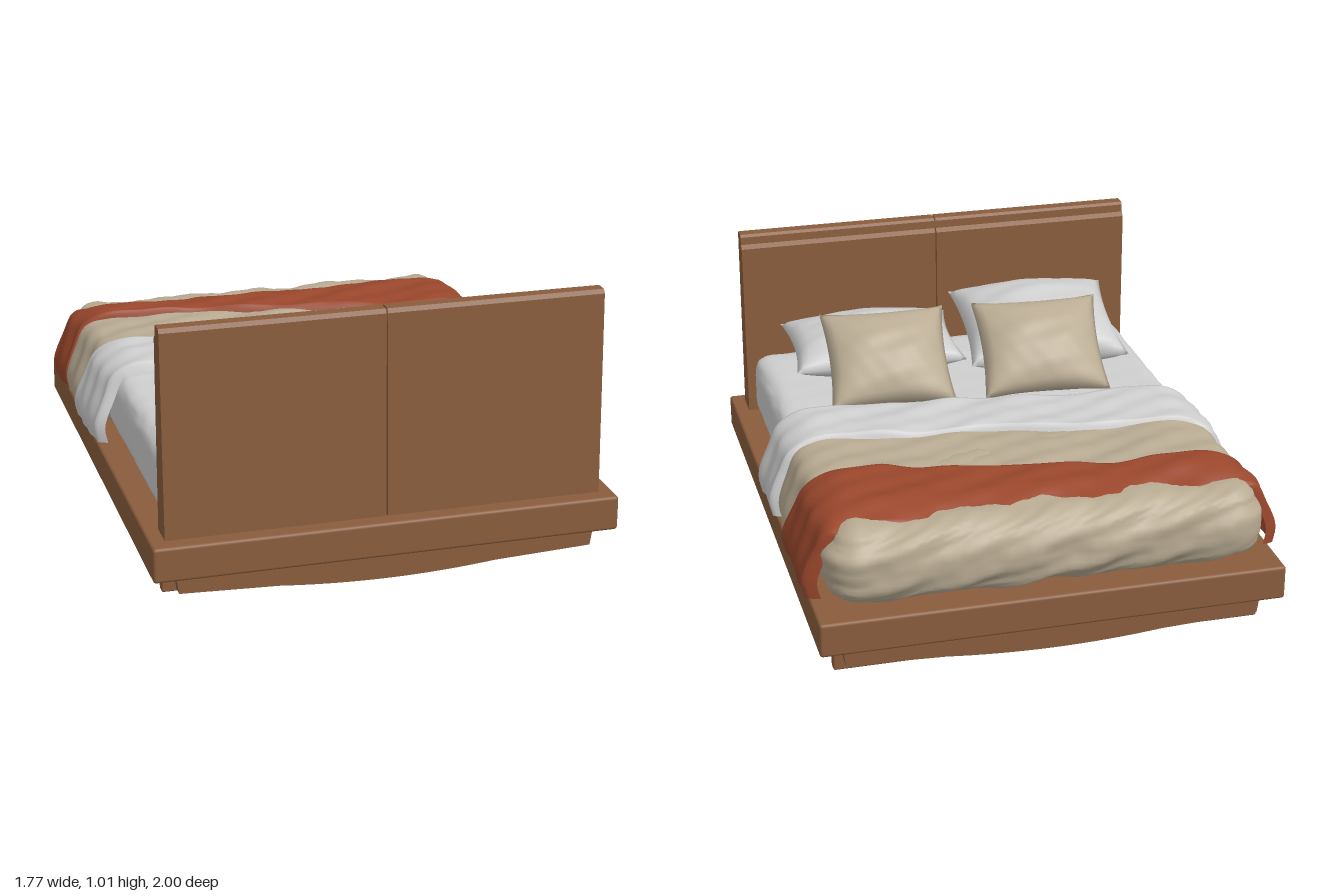
import * as THREE from 'three';
import { mergeVertices } from 'three/addons/utils/BufferGeometryUtils.js';
import { RoundedBoxGeometry } from 'three/addons/geometries/RoundedBoxGeometry.js';

const paint = (name, color, side = THREE.FrontSide) => new THREE.MeshStandardMaterial({ name, color, side });
const { clamp, lerp, smoothstep } = THREE.MathUtils;

// Soft creases running in a few directions
const crease = (a, b) =>
  0.5 * Math.sin(a * 9 + 2 * Math.sin(b * 5)) + 0.3 * Math.sin(b * 23 + a * 6) + 0.2 * Math.sin(a * 31 - b * 17);

// Moves every vertex by a rule, then smooths the normals
function reshape(geometry, rule) {
  geometry.deleteAttribute('uv');
  geometry.deleteAttribute('normal');
  const p = geometry.attributes.position;
  const v = new THREE.Vector3();
  for (let i = 0; i < p.count; i++) {
    rule(v.fromBufferAttribute(p, i));
    p.setXYZ(i, v.x, v.y, v.z);
  }
  const g = mergeVertices(geometry, 1e-5);
  g.computeVertexNormals();
  return g;
}

// Box with rounded edges and a lightly rumpled skin
function softBox(w, h, d, r, rumple) {
  const inner = new THREE.Vector3(w / 2 - r, h / 2 - r, d / 2 - r);
  const core = new THREE.Vector3();
  return reshape(new THREE.BoxGeometry(w, h, d, 64, 14, 44), (v) => {
    core.copy(v).clamp(inner.clone().negate(), inner);
    v.sub(core).normalize();
    const n = rumple * (crease(core.x * 2 + v.y, core.z * 2) + 0.7 * Math.sin(core.x * 26 + v.y * 2) * Math.abs(v.z));
    v.multiplyScalar(r + n).add(core);
  });
}

// Cushion with pinched sides, pointed corners and a thin seam
function pillow(w, t, d) {
  return reshape(new THREE.BoxGeometry(2, 2, 2, 28, 1, 28), (v) => {
    const { x, z } = v;
    const swell = Math.pow(Math.max(0, (1 - x * x) * (1 - z * z)), 0.5);
    const dent = 1 + 0.06 * crease(x * 0.6 + w, z * 0.6);
    v.set((w / 2) * x * (1 - 0.07 * (1 - z * z)), Math.sign(v.y) * (t / 2) * swell * dent, (d / 2) * z * (1 - 0.08 * (1 - x * x)));
  });
}

// Straight-line lookup through [x, z] points
function along(points, x) {
  for (let i = 1; i < points.length; i++) {
    const [a, b] = [points[i - 1], points[i]];
    if (x <= b[0]) return lerp(a[1], b[1], clamp((x - a[0]) / (b[0] - a[0]), 0, 1));
  }
  return points[points.length - 1][1];
}

// Cross-section of the bedclothes, hanging down on both sides
const half = [[0.855, 0.255], [0.865, 0.32], [0.825, 0.43], [0.785, 0.51], [0.7, 0.55], [0.35, 0.548]];
const hang = new THREE.CatmullRomCurve3([
  ...half.map(([x, y]) => new THREE.Vector3(-x, y, 0)),
  new THREE.Vector3(0, 0.548, 0),
  ...half.slice().reverse().map(([x, y]) => new THREE.Vector3(x, y, 0)),
]);

// Cloth band laid across the bed between a far and a near edge
function drape(lift, far, near) {
  const p = new THREE.Vector3();
  return reshape(new THREE.PlaneGeometry(1, 1, 110, 34).rotateX(-Math.PI / 2), (v) => {
    const t = v.z + 0.5;
    hang.getPointAt(clamp(v.x + 0.5, 0, 1), p);
    const z = lerp(along(far, p.x), along(near, p.x), t);
    const tuck = 0.045 * Math.pow(Math.max(0, 1 - Math.min(t, 1 - t) / 0.07), 2);
    const side = smoothstep(Math.abs(p.x), 0.7, 0.8);
    const n = crease(p.x * 1.3 + lift * 50, z * 2.2 + p.x * 0.4);
    const out = lift - tuck + side * 0.012 * n;
    v.x = p.x + Math.sign(p.x) * side * out;
    v.y = Math.max(0.252, p.y + (1 - side) * (lift - tuck + 0.008 * n) - 0.05 * (1 - smoothstep(z, -0.88, -0.7)) * (1 - side));
    v.z = z + 0.008 * Math.sin(p.x * 11 + p.y * 14);
  });
}

export function createModel() {
  const wood = paint('wood', 0x8a5d3d);
  const white = paint('white linen', 0xcfcfcf);
  const beige = paint('beige linen', 0xb9ab93);
  const beigeCloth = paint('beige cloth', 0xb9ab93, THREE.DoubleSide);
  const whiteCloth = paint('white cloth', 0xcfcfcf, THREE.DoubleSide);
  const red = paint('rust throw', 0x9a472c, THREE.DoubleSide);

  const bed = new THREE.Group();
  bed.name = 'bed';
  const add = (name, geometry, material, x = 0, y = 0, z = 0) => {
    const mesh = new THREE.Mesh(geometry, material);
    mesh.name = name;
    mesh.position.set(x, y, z);
    bed.add(mesh);
    return mesh;
  };

  // Platform
  add('platform', new RoundedBoxGeometry(1.71, 0.13, 2, 3, 0.012), wood, 0, 0.185, 0);

  // Cross boards the platform stands on
  for (const z of [0.8, -0.87]) {
    add('legBoard', new RoundedBoxGeometry(1.58, 0.125, 0.042, 2, 0.006), wood, 0, 0.0625, z);
  }

  // Bowed aprons at both ends
  const bow = new THREE.Shape();
  bow.moveTo(-0.77, 0.125);
  bow.lineTo(-0.76, 0.06);
  bow.lineTo(-0.4, 0.045);
  bow.quadraticCurveTo(0, 0.005, 0.4, 0.045);
  bow.lineTo(0.76, 0.06);
  bow.lineTo(0.77, 0.125);
  for (const z of [0.925, -0.97]) {
    add('apron', new THREE.ExtrudeGeometry(bow, { depth: 0.045, bevelEnabled: false, curveSegments: 16 }), wood, 0, 0, z);
  }

  // Headboard: two tapered halves with a groove between them
  const section = new THREE.Shape(
    [[0.832, 0.24], [0.835, 0.955], [0.85, 0.97], [0.852, 1.0], [0.86, 1.01], [0.905, 1.01], [0.915, 0.995], [0.938, 0.24]]
      .map(([z, y]) => new THREE.Vector2(-z, y)));
  for (const x of [-0.8, 0.003]) {
    const panel = new THREE.ExtrudeGeometry(section, { depth: 0.797, bevelEnabled: false });
    add('headboardPanel', panel.rotateY(Math.PI / 2), wood, x, 0, 0);
  }
  add('headboardCore', new THREE.BoxGeometry(0.04, 0.75, 0.05), wood, 0, 0.628, 0.88);

  // Mattress and duvet
  add('mattress', softBox(1.55, 0.26, 1.66, 0.07, 0.003), white, 0, 0.375, 0.02);
  add('duvet', softBox(1.61, 0.29, 0.86, 0.125, 0.01), beige, 0, 0.385, -0.52);

  // Cloth bands, from the bottom layer up
  add('duvetFold', drape(-0.012, [[-0.87, -0.72], [0.87, -0.6]], [[-0.87, -0.25], [0.87, -0.08]]), beigeCloth);
  add('throw', drape(0.008,
    [[-0.87, -0.83], [-0.7, -0.83], [-0.3, -0.87], [0.5, -0.865], [0.87, -0.825]],
    [[-0.87, -0.62], [-0.4, -0.6], [0.1, -0.52], [0.5, -0.41], [0.87, -0.405]]), red);
  add('sheetFold', drape(0.008,
    [[-0.87, -0.36], [-0.4, -0.3], [0.1, -0.21], [0.75, -0.155], [0.87, -0.17]],
    [[-0.87, 0], [-0.5, 0.01], [0.1, 0.09], [0.45, 0.13], [0.87, 0.13]]), whiteCloth);

  // Pillows: width, thickness, depth, position, tilt and turn
  const pillows = [
    ['sleepPillow', white, 0.64, 0.27, 0.52, -0.35, 0.64, 0.54, -0.24, -0.05],
    ['sleepPillow', white, 0.68, 0.21, 0.46, 0.325, 0.61, 0.585, -0.06, -0.03],
    ['cushion', beige, 0.5, 0.2, 0.42, -0.28, 0.665, 0.245, -0.72, -0.06],
    ['cushion', beige, 0.49, 0.2, 0.42, 0.325, 0.66, 0.29, -0.72, -0.05],
  ];
  for (const [name, material, w, t, d, x, y, z, tilt, turn] of pillows) {
    add(name, pillow(w, t, d), material, x, y, z).rotation.set(tilt, turn, 0, 'YXZ');
  }
  return bed;
}
